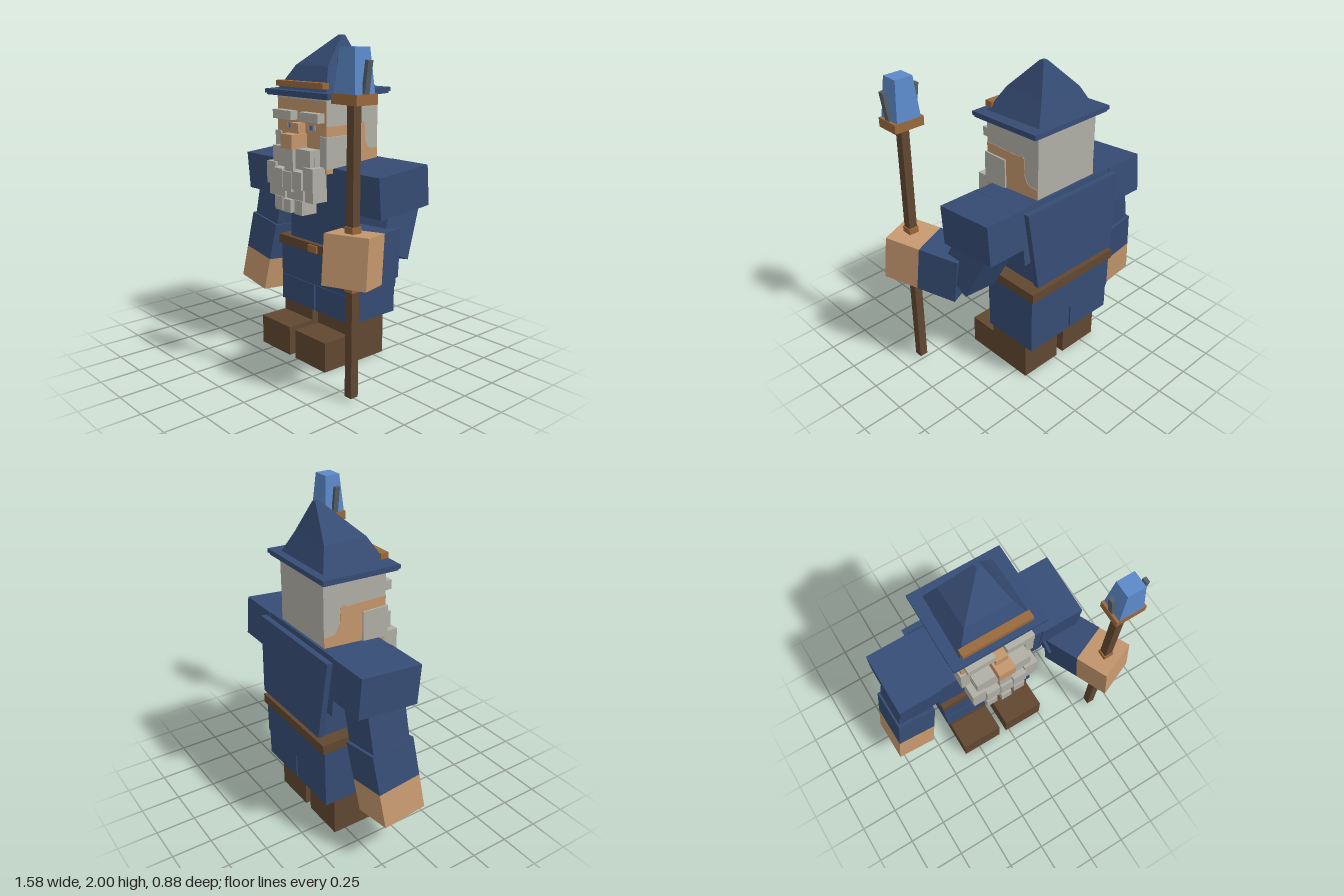
import * as THREE from 'three';

const mat = (name, color) => {
  const m = new THREE.MeshStandardMaterial({ color });
  m.name = name;
  return m;
};

export function createModel() {
  const blue = mat('blue cloth', 0x364c74);
  const skin = mat('skin', 0xc4976d);
  const hair = mat('grey hair', 0xb0afa6);
  const leather = mat('dark leather', 0x614731);
  const trim = mat('copper trim', 0x9a693b);
  const crystal = mat('crystal blue', 0x5b89c9);
  const steel = mat('dark steel', 0x555f69);

  const model = new THREE.Group();
  model.name = 'wizard';
  const CX = -0.052; // body midline

  const add = (parent, name, geo, material) => {
    const mesh = new THREE.Mesh(geo, material);
    mesh.name = name;
    parent.add(mesh);
    return mesh;
  };
  // Box given by its extents
  const block = (name, material, x0, x1, y0, y1, z0, z1, parent = model) => {
    const mesh = add(parent, name, new THREE.BoxGeometry(x1 - x0, y1 - y0, z1 - z0), material);
    mesh.position.set((x0 + x1) / 2, (y0 + y1) / 2, (z0 + z1) / 2);
    return mesh;
  };
  // Box given by centre, size and rotation
  const tilted = (name, material, pos, size, rot, parent = model) => {
    const mesh = add(parent, name, new THREE.BoxGeometry(...size), material);
    mesh.position.set(...pos);
    mesh.rotation.set(...rot);
    return mesh;
  };
  // Closed solid through rectangles [y, x0, x1, z0, z1], bottom to top
  const loft = (rings) => {
    const p = [];
    const corners = rings.map(([y, x0, x1, z0, z1]) => [[x0, y, z1], [x1, y, z1], [x1, y, z0], [x0, y, z0]]);
    const quad = (a, b, c, d) => p.push(...a, ...b, ...c, ...a, ...c, ...d);
    for (let i = 0; i < corners.length - 1; i++) {
      for (let k = 0; k < 4; k++) {
        const n = (k + 1) % 4;
        quad(corners[i][k], corners[i][n], corners[i + 1][n], corners[i + 1][k]);
      }
    }
    const [b, t] = [corners[0], corners[corners.length - 1]];
    quad(b[3], b[2], b[1], b[0]);
    quad(t[0], t[1], t[2], t[3]);
    const geo = new THREE.BufferGeometry();
    geo.setAttribute('position', new THREE.Float32BufferAttribute(p, 3));
    geo.computeVertexNormals();
    return geo;
  };

  // Boots and trouser legs
  for (const s of [-1, 1]) {
    const c = CX + s * 0.17;
    block('bootShaft', leather, c - 0.142, c + 0.142, 0.185, 0.27, -0.33, -0.03);
    block('bootFoot', leather, c - 0.142, c + 0.142, 0, 0.188, -0.33, 0.16);
    block('trouserLeg', blue, c - 0.164, c + 0.164, 0.265, 0.435, -0.405, -0.025);
  }

  // Torso
  block('hips', blue, CX - 0.34, CX + 0.34, 0.432, 0.66, -0.41, -0.03);
  block('belt', leather, CX - 0.349, CX + 0.349, 0.65, 0.71, -0.427, -0.012);
  block('beltBuckle', trim, CX - 0.042, CX + 0.042, 0.657, 0.703, -0.02, 0);
  block('belly', blue, CX - 0.26, CX + 0.26, 0.7, 0.92, -0.38, -0.045);
  tilted('chest', blue, [CX, 1.07, -0.175], [0.745, 0.355, 0.385], [0.08, 0, 0]);
  const cape = add(model, 'cape', loft([
    [-0.245, -0.318, 0.318, -0.018, 0.018],
    [0.245, -0.368, 0.368, -0.018, 0.018],
  ]), blue);
  cape.position.set(CX, 1.0, -0.404);
  cape.rotation.x = 0.07;

  // Shoulders and upper arms
  for (const s of [-1, 1]) {
    tilted('shoulder', blue, [CX + s * 0.486, 1.124, -0.17], [0.278, 0.245, 0.398], [0.085, 0, 0]);
  }
  tilted('rightUpperArm', blue, [-0.55, 0.91, -0.17], [0.24, 0.32, 0.25], [-0.04, 0, -0.19]);
  tilted('leftUpperArm', blue, [0.455, 0.92, -0.14], [0.235, 0.35, 0.24], [-0.43, 0, 0.14]);

  // Lower arms: sleeve and hand share one axis, with +z towards the hand
  const lowerArm = (name, pos) => {
    const arm = new THREE.Group();
    arm.name = name;
    arm.position.set(...pos);
    block('sleeve', blue, -0.13, 0.13, -0.142, 0.142, -0.235, 0.015, arm);
    block('hand', skin, -0.13, 0.13, -0.142, 0.142, 0.015, 0.235, arm);
    model.add(arm);
    return arm;
  };
  lowerArm('leftLowerArm', [0.573, 0.811, 0.16]).rotation.set(-0.11, 0.4, 0, 'YXZ');
  lowerArm('rightLowerArm', [-0.62, 0.533, -0.142]).rotation.set(Math.PI / 2 - 0.095, 0, -0.165, 'ZXY');

  // Head: hair shell with a bare face, and bare cheeks on the sides
  block('head', [hair, hair, hair, skin, skin, hair], CX - 0.228, CX + 0.228, 1.2, 1.67, -0.335, 0.08);
  block('hairline', hair, CX - 0.228, CX + 0.228, 1.625, 1.67, 0.078, 0.083);
  const cheek = new THREE.Shape([
    [0.08, 1.2], [0.08, 1.48], [-0.19, 1.48], [-0.205, 1.495], [-0.225, 1.48], [-0.23, 1.38],
    [-0.25, 1.34], [-0.275, 1.325], [-0.335, 1.325], [-0.335, 1.2],
  ].map(([z, y]) => new THREE.Vector2(-z, y)));
  for (const s of [-1, 1]) {
    const side = add(model, 'cheek', new THREE.ExtrudeGeometry(cheek, { depth: 0.004, bevelEnabled: false }), skin);
    side.rotation.y = Math.PI / 2;
    side.position.x = CX + s * 0.229 - 0.002;
  }

  // Face
  block('noseBridge', skin, CX - 0.038, CX + 0.038, 1.41, 1.487, 0.07, 0.135);
  block('noseTip', skin, CX - 0.054, CX + 0.054, 1.338, 1.425, 0.07, 0.198);
  for (const s of [-1, 1]) {
    const brow = CX + s * 0.125, eye = CX + s * 0.092 + s * 0.005;
    block('eyebrow', hair, brow - 0.088, brow + 0.088, 1.5, 1.555, 0.07, 0.133);
    block('eye', hair, eye - 0.036, eye + 0.036, 1.447, 1.478, 0.078, 0.084);
    block('iris', crystal, eye - 0.018, eye + 0.018, 1.447, 1.478, 0.08, 0.086);
    block('pupil', steel, eye - 0.008, eye + 0.008, 1.45, 1.475, 0.081, 0.088);
    block('sideburn', hair, CX + s * 0.214 - 0.028, CX + s * 0.214 + 0.028, 1.23, 1.42, -0.08, 0.09);
    block('moustache', hair, CX + s * 0.107 - 0.071, CX + s * 0.107 + 0.071, 1.22, 1.34, 0.07, 0.16);
  }

  // Beard: stepped locks, mirrored about the middle [offset, half width, y0, y1, z0, z1]
  block('beardBack', hair, CX - 0.18, CX + 0.18, 1.08, 1.3, 0.06, 0.13);
  const locks = [
    [0, 0.04, 1.2, 1.335, 0.07, 0.18], [0, 0.04, 1.08, 1.2, 0.07, 0.195],
    [0.09, 0.044, 1.1, 1.21, 0.07, 0.195], [0.175, 0.044, 1.1, 1.24, 0.07, 0.178],
    [0, 0.036, 1.025, 1.09, 0.06, 0.165], [0.088, 0.046, 1.03, 1.125, 0.06, 0.178],
    [0.17, 0.038, 1.03, 1.11, 0.055, 0.165], [0, 0.034, 0.95, 1.03, 0.07, 0.195],
    [0.095, 0.036, 0.948, 1.035, 0.07, 0.185],
  ];
  for (const [dx, w, y0, y1, z0, z1] of locks) {
    for (const s of dx ? [-1, 1] : [1]) {
      block('beardLock', hair, CX + s * dx - w, CX + s * dx + w, y0, y1, z0, z1);
    }
  }

  // Hat
  tilted('hatBrim', blue, [CX, 1.672, -0.124], [0.588, 0.024, 0.508], [0.035, 0, 0]);
  tilted('hatBrimBase', blue, [CX, 1.66, -0.124], [0.572, 0.024, 0.49], [0.035, 0, 0]);
  add(model, 'hatCrown', loft([
    [1.67, -0.283, 0.178, -0.337, 0.083],
    [1.82, -0.2, 0.098, -0.275, 0.0],
    [2.0, -0.012, 0.018, -0.207, -0.178],
  ]), blue);
  block('hatBand', trim, CX - 0.218, CX + 0.218, 1.695, 1.73, 0.05, 0.1);

  // Staff
  const SX = 0.62, SZ = 0.277;
  const square = (name, material, h, y0, y1, d = h) =>
    block(name, material, SX - h, SX + h, y0, y1, SZ - d, SZ + d);
  square('staffPole', leather, 0.026, 0.025, 1.66);
  square('lowerCollar', trim, 0.032, 0.645, 0.68);
  square('upperCollar', trim, 0.032, 0.97, 1.008);
  square('staffCup', trim, 0.096, 1.655, 1.71, 0.074);
  const gem = add(model, 'crystal', loft([
    [1.7, -0.08, 0.08, -0.072, 0.072],
    [1.945, -0.057, 0.057, -0.052, 0.052],
  ]), crystal);
  gem.position.set(SX, 0, SZ);
  for (const s of [-1, 1]) {
    tilted('prong', steel, [SX + s * 0.092, 1.79, SZ], [0.024, 0.185, 0.034], [0, 0, -s * 0.15]);
  }

  return model;
}
